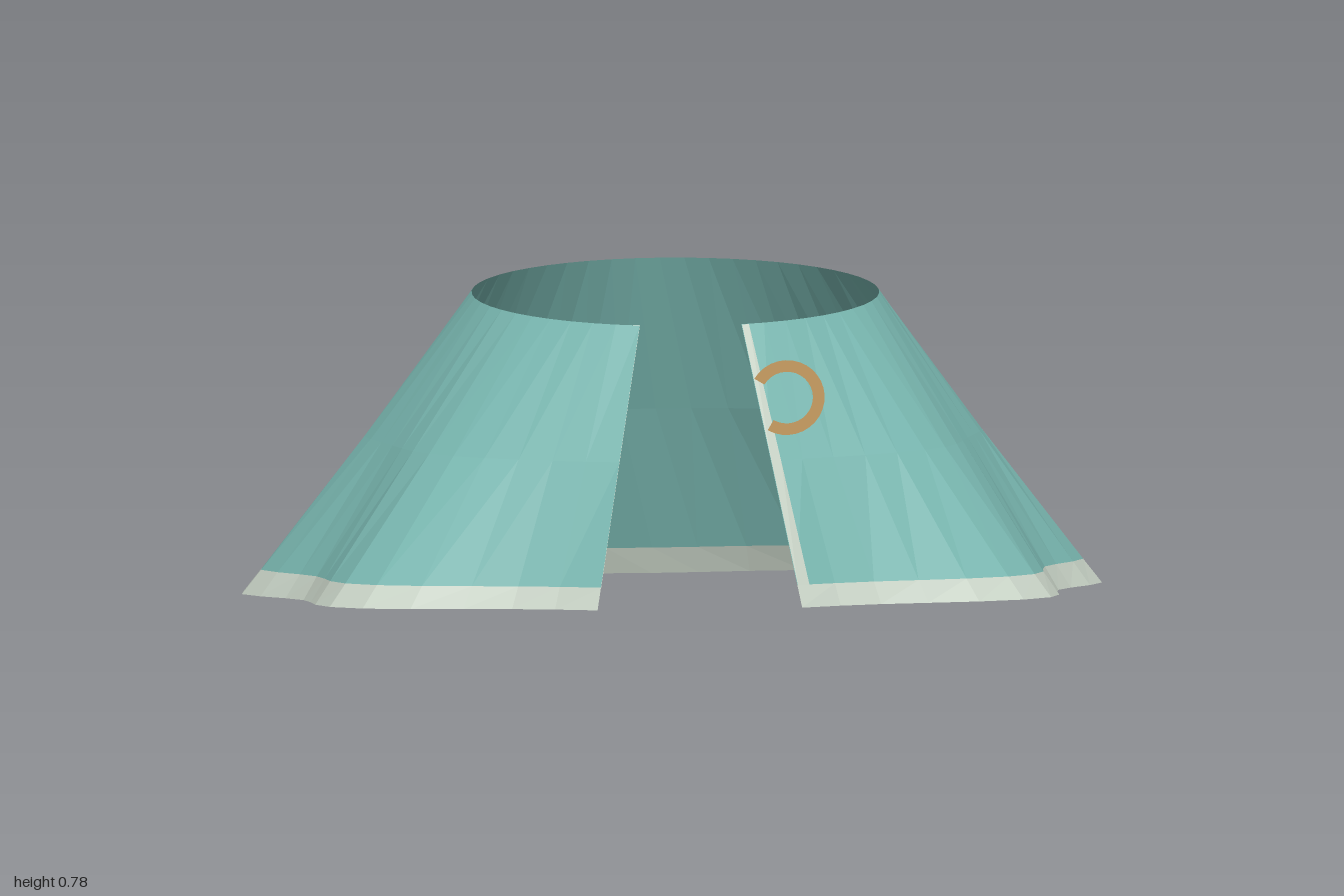
import * as THREE from 'three';

const OPEN = 0.253;                       // half angle of the front opening
const END = Math.PI * 2 - OPEN;
const HEM = 0.92;                         // where the hem band begins, 0 top to 1 bottom

// Point on the cape: t runs round from the front, v from neckline to hem
function capePoint(t, v, push = 0) {
  const ripple = 1 + 0.062 * Math.cos(7 * t) * Math.sqrt(v);
  const rx = THREE.MathUtils.lerp(0.467, 0.95 * ripple, v) + push;
  const rz = THREE.MathUtils.lerp(0.455, 0.745 * ripple, v) + push;
  const hemZ = 0.745 * (1 + 0.062 * Math.cos(7 * t)) * Math.cos(t);
  const y = THREE.MathUtils.lerp(0.78, 0.085 + 0.115 * hemZ, v);
  return [rx * Math.sin(t), y, rz * Math.cos(t)];
}

// Sheet of quads over a range of t and a list of v rows
function capePatch(t0, t1, segments, rows, push = 0) {
  const positions = [], index = [];
  for (const v of rows) {
    for (let i = 0; i <= segments; i++) {
      positions.push(...capePoint(t0 + (t1 - t0) * i / segments, v, push));
    }
  }
  const n = segments + 1;
  for (let r = 0; r < rows.length - 1; r++) {
    for (let i = 0; i < segments; i++) {
      const a = r * n + i, b = a + n;
      index.push(a, b, a + 1, b, b + 1, a + 1);
    }
  }
  const geometry = new THREE.BufferGeometry();
  geometry.setAttribute('position', new THREE.Float32BufferAttribute(positions, 3));
  geometry.setIndex(index);
  geometry.computeVertexNormals();
  return geometry;
}

export function createModel() {
  const group = new THREE.Group();
  const material = (name, color) => {
    const m = new THREE.MeshStandardMaterial({ color, side: THREE.DoubleSide, flatShading: true });
    m.name = name;
    return m;
  };
  const teal = material('teal cloth', 0x7bbab3);
  const pale = material('pale trim', 0xcbd6c9);
  const gold = material('gold clasp', 0xcb9f61);
  const add = (name, geometry, mat) => {
    const mesh = new THREE.Mesh(geometry, mat);
    mesh.name = name;
    group.add(mesh);
    return mesh;
  };

  // Flared cloth and its hem
  add('cape', capePatch(OPEN, END, 48, [0, 0.48, HEM]), teal);
  add('hemTrim', capePatch(OPEN, END, 48, [HEM, 1]), pale);

  // Edge trims: outside on the left panel, inside on the right panel
  const rows = [0, 0.48, HEM];
  add('leftEdgeTrim', capePatch(OPEN, OPEN + 0.036, 1, rows, 0.004), pale);
  add('rightEdgeTrim', capePatch(END - 0.036, END, 1, rows, -0.004), pale);

  // Flat open ring clasp
  const clasp = add('clasp', new THREE.RingGeometry(0.06, 0.087, 24, 1, -2.1, 4.7), gold);
  clasp.position.set(0.212, 0.628, 0.555);

  return group;
}
